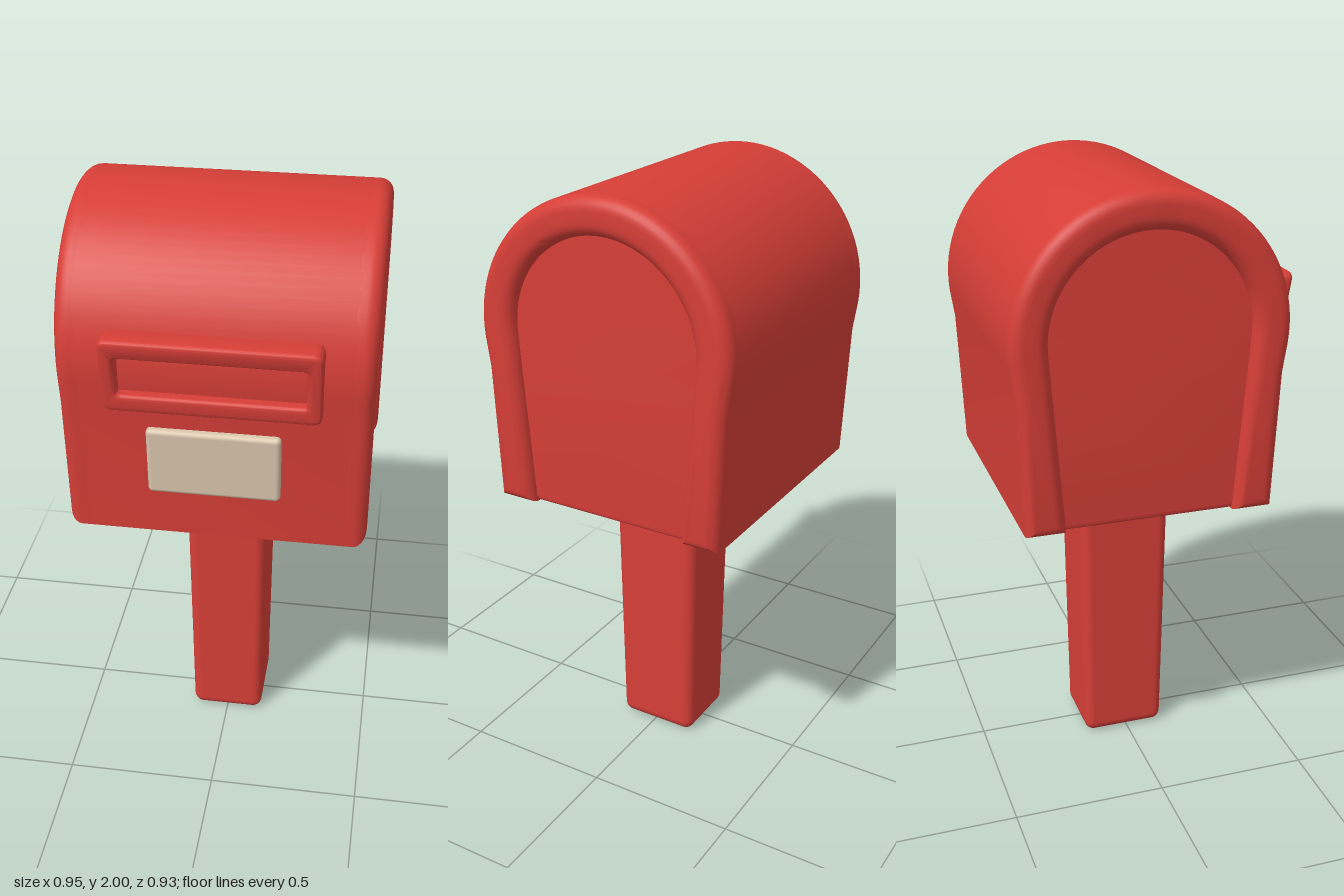
import * as THREE from 'three';
import { toCreasedNormals } from 'three/addons/utils/BufferGeometryUtils.js';
import { RoundedBoxGeometry } from 'three/addons/geometries/RoundedBoxGeometry.js';

const red = new THREE.MeshStandardMaterial({ color: 0xd63e37 });
red.name = 'postbox red';
const cream = new THREE.MeshStandardMaterial({ color: 0xd9c5ac });
cream.name = 'label cream';

const CENTRE_Z = -0.03, BASE_Y = 0.975, ARCH_Y = 1.565;

// Arched outline (x = depth, y = height), from the front foot over the top to the back foot
function archPoints(radius, shoulder, foot) {
  const pts = [new THREE.Vector2(foot, BASE_Y), new THREE.Vector2(shoulder, 1.42)];
  const n = 48, start = -0.12;
  for (let i = 0; i <= n; i++) {
    const a = start + (Math.PI - 2 * start) * i / n;
    pts.push(new THREE.Vector2(Math.cos(a) * radius, ARCH_Y + Math.sin(a) * radius));
  }
  pts.push(new THREE.Vector2(-shoulder, 1.42), new THREE.Vector2(-foot, BASE_Y));
  return pts.map((p) => new THREE.Vector2(p.x + CENTRE_Z, p.y));
}

// Bevelled extrusion running along x, centred on x = 0
function extrudeAlongX(shape, width, bevel) {
  const g = new THREE.ExtrudeGeometry(shape, {
    depth: width - 2 * bevel, bevelEnabled: true, bevelSize: bevel,
    bevelThickness: bevel, bevelOffset: -bevel, bevelSegments: 6,
  });
  g.translate(0, 0, bevel - width / 2);
  g.rotateY(-Math.PI / 2);
  return toCreasedNormals(g, 0.6);
}

function rectangle(Type, w, h, r) {
  const s = new Type(), x = w / 2, y = h / 2;
  s.moveTo(-x + r, -y);
  s.lineTo(x - r, -y).quadraticCurveTo(x, -y, x, -y + r);
  s.lineTo(x, y - r).quadraticCurveTo(x, y, x - r, y);
  s.lineTo(-x + r, y).quadraticCurveTo(-x, y, -x, y - r);
  s.lineTo(-x, -y + r).quadraticCurveTo(-x, -y, -x + r, -y);
  return s;
}

export function createModel() {
  const model = new THREE.Group();
  model.name = 'postbox';
  const add = (name, geometry, material = red) => {
    const mesh = new THREE.Mesh(geometry, material);
    mesh.name = name;
    model.add(mesh);
    return mesh;
  };

  // Post, narrowing towards the ground
  const post = new RoundedBoxGeometry(0.27, 1.03, 0.31, 5, 0.035);
  post.translate(0, 0.52, 0);
  const p = post.attributes.position;
  for (let i = 0; i < p.count; i++) {
    const t = p.getY(i);
    p.setX(i, p.getX(i) * (0.92 + 0.08 * t));
    p.setZ(i, p.getZ(i) * (0.9 + 0.1 * t) - 0.01);
  }
  add('post', post);

  // Body with its end panels
  const outer = archPoints(0.435, 0.418, 0.398);
  add('body', extrudeAlongX(new THREE.Shape(outer), 0.87, 0.02));

  // Raised horseshoe rims around both end panels
  const inner = archPoints(0.315, 0.305, 0.27);
  const rimShape = new THREE.Shape([...outer, ...inner.reverse()]);
  for (const side of [-1, 1]) {
    const rim = add(side > 0 ? 'leftRim' : 'rightRim', extrudeAlongX(rimShape, 0.11, 0.042));
    rim.position.x = side * 0.418;
  }

  // Letter slot frame, leaning forward towards the top
  const frame = rectangle(THREE.Shape, 0.65, 0.25, 0.03);
  frame.holes.push(rectangle(THREE.Path, 0.56, 0.13, 0.012));
  const bevel = 0.014;
  const slot = new THREE.ExtrudeGeometry(frame, {
    depth: 0.1, bevelEnabled: true, bevelSize: bevel, bevelThickness: bevel,
    bevelOffset: -bevel, bevelSegments: 4,
  });
  const q = slot.attributes.position;
  for (let i = 0; i < q.count; i++) {
    if (q.getZ(i) > 0.05) q.setZ(i, q.getZ(i) + 0.16 * q.getY(i));
  }
  slot.computeVertexNormals();
  const slotFrame = add('slotFrame', toCreasedNormals(slot, 0.6));
  slotFrame.position.set(0, 1.565, 0.335);

  // Label plate lying against the sloped front
  const label = add('label', new RoundedBoxGeometry(0.41, 0.23, 0.04, 4, 0.015), cream);
  label.position.set(0, 1.255, 0.383);
  label.rotation.x = 0.045;

  return model;
}
